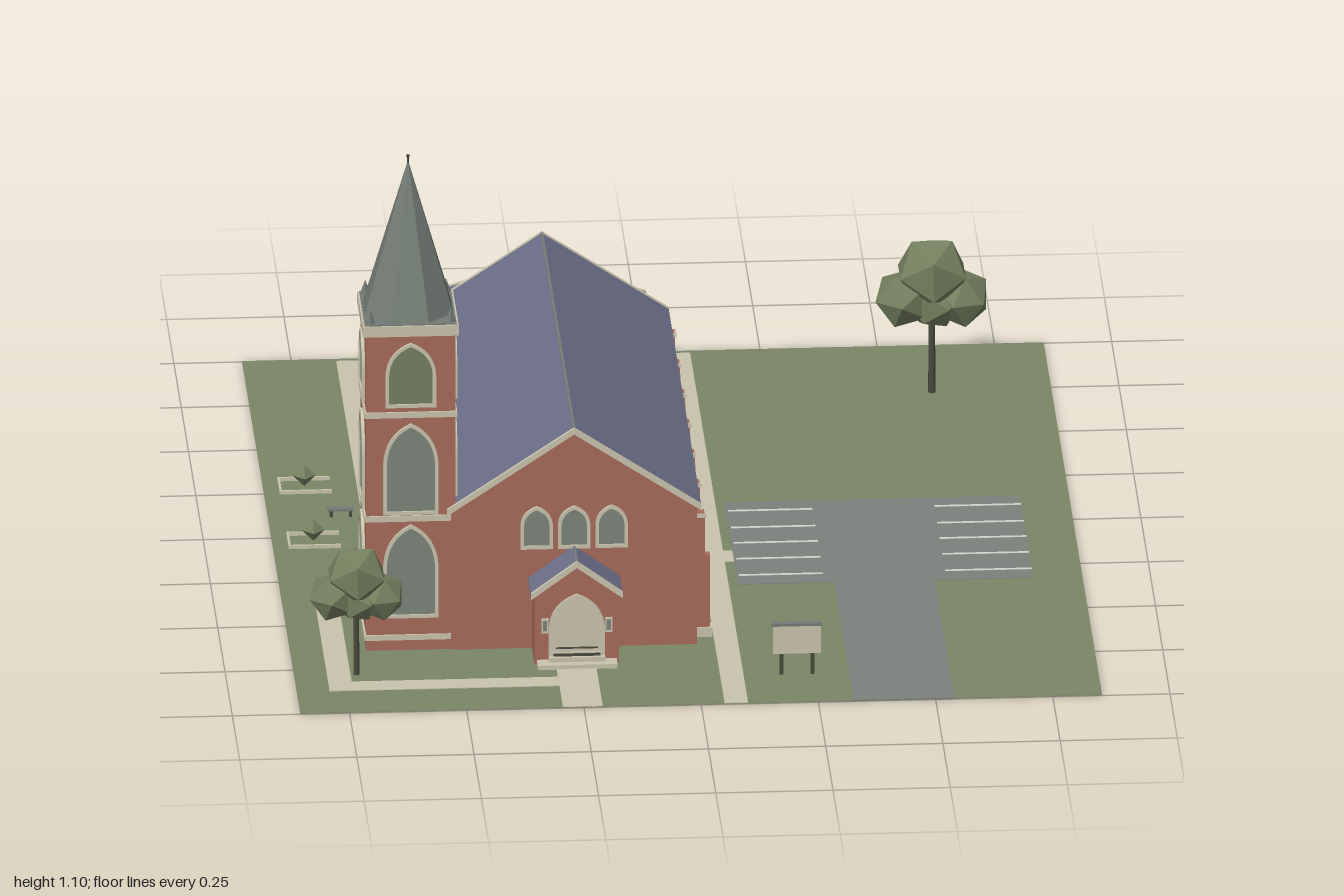
import * as THREE from 'three';

const mat = (name, color) => Object.assign(new THREE.MeshStandardMaterial({ color }), { name });
const grass = mat('grass', 0x7a8666), asphalt = mat('asphalt', 0x7a827d), stone = mat('cream stone', 0xc9c4ad),
  brick = mat('red brick', 0xa66a5a), slate = mat('blue slate', 0x6b6e87), lead = mat('grey spire', 0x747c76),
  glass = mat('window glass', 0x7a847b), leaf = mat('foliage green', 0x747f5f),
  wood = mat('dark wood', 0x4a4b3e), paint = mat('white paint', 0xd6d5ca);
leaf.flatShading = lead.flatShading = true;

export function createModel() {
  const root = new THREE.Group();
  root.name = 'churchAndGrounds';

  const add = (name, geo, m, x = 0, y = 0, z = 0, parent = root) => {
    const mesh = new THREE.Mesh(geo, m);
    mesh.name = name;
    mesh.position.set(x, y, z);
    parent.add(mesh);
    return mesh;
  };
  // box given by its limits
  const box = (name, m, x0, x1, y0, y1, z0, z1) =>
    add(name, new THREE.BoxGeometry(x1 - x0, y1 - y0, z1 - z0), m, (x0 + x1) / 2, (y0 + y1) / 2, (z0 + z1) / 2);
  const poly = pts => new THREE.Shape(pts.map(p => new THREE.Vector2(...p)));
  const extrude = (shape, depth) =>
    new THREE.ExtrudeGeometry(shape, { depth, bevelEnabled: false, curveSegments: 8 });

  // pointed arch outline, or a plain rectangle when spring equals top
  const opening = (w, y0, spring, top) => {
    const s = new THREE.Shape(), h = w / 2;
    s.moveTo(-h, y0);
    s.lineTo(h, y0);
    s.lineTo(h, spring);
    if (top > spring) {
      const k = spring + (top - spring) * 0.72;
      s.quadraticCurveTo(h * 0.95, k, 0, top);
      s.quadraticCurveTo(-h * 0.95, k, -h, spring);
    } else s.lineTo(-h, spring);
    s.closePath();
    return s;
  };
  // pane with a stone surround, facing along +z before turning
  const windowAt = (name, x, z, turn, w, y0, spring, top, pane = glass, f = 0.0075) => {
    const g = new THREE.Group();
    g.name = name;
    g.position.set(x, 0, z);
    g.rotation.y = turn;
    const frame = opening(w + 2 * f, y0 - f, top > spring ? spring : spring + f, top + f);
    frame.holes.push(opening(w, y0, spring, top));
    add('pane', extrude(opening(w, y0, spring, top), 0.003), pane, 0, 0, 0, g);
    add('surround', extrude(frame, 0.007), stone, 0, 0, 0, g);
    root.add(g);
  };
  const R = Math.PI / 2;

  // gabled block with roof, ridge and pale verge trim
  const hall = (name, cx, half, eave, ridge, z0, z1, over, trimBack = true) => {
    const t = 0.009, slope = (ridge - eave) / half, e = half + over, ey = eave - slope * over, b = 0.002;
    add(name + 'Walls', extrude(poly([[-half, b], [half, b], [half, eave], [0, ridge], [-half, eave]]), z1 - z0),
      brick, cx, 0, z0);
    const chevron = (lo, hi) => poly([[-e, ey + lo], [0, ridge + lo], [e, ey + lo], [e, ey + hi], [0, ridge + hi], [-e, ey + hi]]);
    add(name + 'Roof', extrude(chevron(0.001, t), z1 - z0), slate, cx, 0, z0);
    box(name + 'Ridge', lead, cx - 0.003, cx + 0.003, ridge + t - 0.004, ridge + t + 0.001, z0, z1);
    add(name + 'FrontVerge', extrude(chevron(-0.003, t + 0.002), 0.008), stone, cx, 0, z1 - 0.002);
    if (trimBack) add(name + 'BackVerge', extrude(chevron(-0.003, t + 0.002), 0.008), stone, cx, 0, z0 - 0.006);
  };

  // grounds
  box('lawn', grass, -0.855, 0.855, 0.0008, 0.002, -1, 1);
  box('carPark', asphalt, 0.12, 0.75, 0, 0.0032, -0.135, 0.33);
  box('driveway', asphalt, 0.325, 0.54, 0, 0.0032, 0.33, 1);
  for (const z of [-0.085, 0.01, 0.097, 0.187, 0.28])
    for (const [a, b] of [[0.125, 0.305], [0.565, 0.75]]) box('parkingLine', paint, a, b, 0.003, 0.004, z - 0.004, z + 0.004);
  [[0.05, 0.1, -0.985, 1], [-0.655, 0.05, -0.985, -0.935], [-0.655, -0.6, -0.935, 0.42],
    [-0.785, -0.655, 0.375, 0.42], [-0.785, -0.735, 0.42, 0.88], [-0.735, -0.295, 0.83, 0.88],
    [-0.295, -0.21, 0.78, 1], [0, 0.05, -0.6, -0.53], [-0.17, -0.09, -0.935, -0.88], [0.1, 0.12, 0.14, 0.2]]
    .forEach(([a, b, c, d]) => box('path', stone, a, b, 0.0015, 0.0036, c, d));

  // nave and rear hall
  hall('nave', -0.25, 0.262, 0.32, 0.495, -0.45, 0.66, 0.009);
  hall('rearHall', -0.25, 0.243, 0.182, 0.253, -0.878, -0.45, 0.006);

  // nave side windows and stepped buttresses
  for (const s of [1, -1]) {
    const wall = d => -0.25 + s * (0.262 + d);
    for (let i = 0; i < 6; i++) {
      const z = 0.52 - i * 0.169;
      if (s > 0 || i > 0) windowAt('naveWindow', wall(0), z, s * R, 0.095, 0.083, 0.195, 0.278);
    }
    for (let i = 0; i < 7; i++) {
      const z = 0.607 - i * 0.1705;
      if (s < 0 && i === 0) continue;
      const stage = (name, m, d, w, y0, y1) => box(name, m, Math.min(wall(0), wall(d)), Math.max(wall(0), wall(d)), y0, y1, z - w, z + w);
      stage('buttressFoot', stone, 0.036, 0.015, 0, 0.024);
      stage('buttressLower', brick, 0.031, 0.011, 0.024, 0.188);
      stage('buttressUpper', brick, 0.02, 0.011, 0.188, 0.275);
      stage('buttressCap', stone, 0.023, 0.013, 0.275, 0.284);
      stage('buttressTop', brick, 0.019, 0.009, 0.284, 0.286);
    }
  }
  for (const x of [-0.33, -0.25, -0.17]) windowAt('gableWindow', x, 0.66, 0, 0.054, 0.238, 0.285, 0.32);

  // rear hall windows, doors and steps
  windowAt('hallWindow', -0.007, -0.77, R, 0.072, 0.064, 0.142, 0.142, glass, 0.005);
  windowAt('hallWindow', -0.493, -0.64, -R, 0.075, 0.064, 0.142, 0.142, glass, 0.005);
  windowAt('hallWindow', -0.335, -0.878, Math.PI, 0.075, 0.064, 0.142, 0.142, glass, 0.005);
  windowAt('sideDoor', -0.007, -0.557, R, 0.05, 0.03, 0.12, 0.12, glass, 0.004);
  windowAt('backDoor', -0.13, -0.878, Math.PI, 0.05, 0.03, 0.12, 0.12, glass, 0.004);
  box('sideDoorKick', stone, -0.007, -0.002, 0.03, 0.048, -0.582, -0.532);
  box('backDoorKick', stone, -0.155, -0.105, 0.03, 0.048, -0.883, -0.878);
  box('sideStep', stone, -0.01, 0.04, 0, 0.024, -0.592, -0.522);
  box('sideStepLow', stone, 0.04, 0.062, 0, 0.012, -0.592, -0.522);
  box('backStep', stone, -0.17, -0.09, 0, 0.024, -0.915, -0.875);
  box('backStepLow', stone, -0.17, -0.09, 0, 0.012, -0.938, -0.915);
  for (const x of [-0.402, -0.365]) {
    box('bin', lead, x - 0.012, x + 0.012, 0.002, 0.034, -0.923, -0.9);
    box('binLid', slate, x - 0.013, x + 0.013, 0.034, 0.038, -0.924, -0.899);
  }

  // porch
  hall('porch', -0.25, 0.09, 0.16, 0.226, 0.655, 0.753, 0.008, false);
  windowAt('porchDoor', -0.25, 0.753, 0, 0.105, 0.03, 0.085, 0.155, stone);
  box('doorSill', wood, -0.3, -0.2, 0.022, 0.028, 0.753, 0.762);
  box('doorRail', wood, -0.295, -0.205, 0.038, 0.041, 0.756, 0.759);
  for (const x of [-0.318, -0.182]) windowAt('porchSlit', x, 0.753, 0, 0.009, 0.078, 0.104, 0.104, glass, 0.003);
  box('porchStep', stone, -0.31, -0.19, 0, 0.022, 0.75, 0.77);
  box('porchStepLow', stone, -0.335, -0.165, 0, 0.012, 0.75, 0.787);

  // tower
  const tx = -0.598, tz = 0.56, th = 0.095;
  const ring = (name, m, h, y0, y1) => box(name, m, tx - h, tx + h, y0, y1, tz - h, tz + h);
  ring('towerShaft', brick, th, 0.002, 0.728);
  for (const [y0, y1] of [[0.026, 0.038], [0.298, 0.311], [0.536, 0.549]]) ring('towerBand', stone, th + 0.004, y0, y1);
  ring('towerCornice', stone, th + 0.007, 0.724, 0.748);
  ring('towerTop', lead, th + 0.003, 0.748, 0.751);
  for (let i = 0; i < 4; i++) {
    const a = i * R, x = tx + Math.sin(a) * th, z = tz + Math.cos(a) * th;
    if (i !== 1) windowAt('towerLowWindow', x, z, a, 0.103, 0.085, 0.195, 0.283);
    windowAt('towerMidWindow', x, z, a, 0.103, 0.322, 0.43, 0.515);
    windowAt('belfryLouvre', x, z, a, 0.093, 0.568, 0.635, 0.7, leaf);
    const px = tx + (i % 2 ? 0.086 : -0.086), pz = tz + (i > 1 ? 0.086 : -0.086);
    add('pinnacle', new THREE.ConeGeometry(0.011, 0.03, 4), lead, px, 0.766, pz);
  }
  add('spire', new THREE.ConeGeometry(0.102, 0.338, 8), lead, tx, 0.92, tz).rotation.y = Math.PI / 8;
  add('finialRod', new THREE.CylinderGeometry(0.002, 0.002, 0.03, 6), wood, tx, 1.085, tz);
  add('finialBall', new THREE.SphereGeometry(0.004, 8, 6), wood, tx, 1.098, tz);

  // notice board
  box('noticePanel', stone, 0.163, 0.265, 0.05, 0.114, 0.837, 0.845);
  box('noticeRoof', lead, 0.16, 0.268, 0.114, 0.12, 0.833, 0.849);
  for (const x of [0.181, 0.247]) box('noticePost', wood, x - 0.004, x + 0.004, 0.001, 0.05, 0.837, 0.845);

  // kerbed beds with shrubs, and a bench
  for (const z of [-0.28, 0.03]) {
    box('bedKerb', stone, -0.822, -0.71, 0.001, 0.01, z - 0.04, z - 0.035);
    box('bedKerb', stone, -0.822, -0.71, 0.001, 0.01, z + 0.035, z + 0.04);
    box('bedKerb', stone, -0.822, -0.817, 0.001, 0.01, z - 0.035, z + 0.035);
    add('shrub', new THREE.OctahedronGeometry(0.025), leaf, -0.767, 0.029, z);
  }
  box('benchSeat', lead, -0.727, -0.672, 0.016, 0.021, -0.118, -0.102);
  for (const x of [-0.72, -0.679]) box('benchLeg', wood, x - 0.003, x + 0.003, 0.001, 0.016, -0.116, -0.104);

  // trees
  const tree = (x, z, s) => {
    const g = new THREE.Group();
    g.name = 'tree';
    g.position.set(x, 0, z);
    g.scale.setScalar(s);
    add('trunk', new THREE.CylinderGeometry(0.007, 0.009, 0.22, 6), wood, 0, 0.111, 0, g);
    [[0, 0.278, 0, 0.082], [-0.06, 0.222, 0.006, 0.066], [0.062, 0.217, -0.004, 0.066], [0.002, 0.21, 0.004, 0.06]]
      .forEach(([a, b, c, r], i) => { add('crown', new THREE.IcosahedronGeometry(r, 0), leaf, a, b, c, g).rotation.y = i * 0.9; });
    root.add(g);
  };
  tree(0.6, -0.735, 1);
  tree(-0.722, 0.785, 0.83);

  return root;
}
